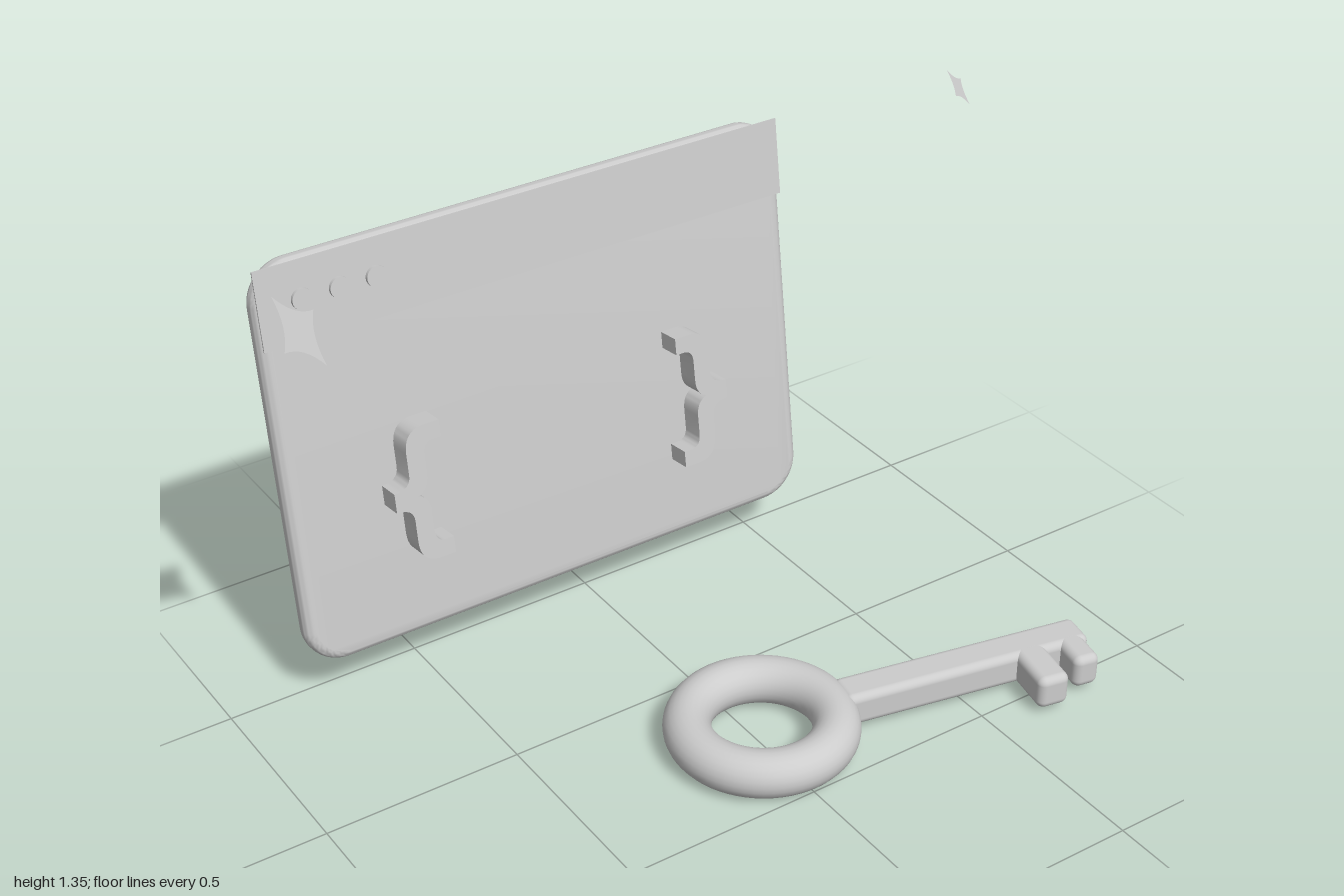
import * as THREE from 'three';
import { toCreasedNormals } from 'three/addons/utils/BufferGeometryUtils.js';
import { RoundedBoxGeometry } from 'three/addons/geometries/RoundedBoxGeometry.js';

export function createModel() {
  const model = new THREE.Group();
  model.name = 'windowAndKey';
  const grey = new THREE.MeshStandardMaterial({ color: 0xcccccc });
  grey.name = 'light grey';
  const greyThin = grey.clone();
  greyThin.side = THREE.DoubleSide;

  const add = (parent, name, geometry, x, y, z, material = grey) => {
    const mesh = new THREE.Mesh(geometry, material);
    mesh.name = name;
    mesh.position.set(x, y, z);
    parent.add(mesh);
    return mesh;
  };

  // Window leaning backwards
  const win = new THREE.Group();
  win.name = 'window';
  win.position.set(-0.105, 0.63, -0.5);
  win.rotation.x = -0.137;
  model.add(win);

  // Panel: rounded rectangle with soft edges, 0.06 thick
  const bevel = 0.025, w = 1.43 / 2 - bevel, h = 1.03 / 2 - bevel, r = 0.08;
  const outline = new THREE.Shape();
  outline.absarc(w - r, h - r, r, 0, Math.PI / 2);
  outline.absarc(r - w, h - r, r, Math.PI / 2, Math.PI);
  outline.absarc(r - w, r - h, r, Math.PI, Math.PI * 1.5);
  outline.absarc(w - r, r - h, r, Math.PI * 1.5, Math.PI * 2);
  const panel = new THREE.ExtrudeGeometry(outline, {
    depth: 0.01, bevelSize: bevel, bevelThickness: bevel, bevelSegments: 6, curveSegments: 10,
  });
  panel.translate(0, 0, -0.005);
  add(win, 'panel', toCreasedNormals(panel, 0.6), 0, 0, 0);

  // Title bar and its three buttons
  add(win, 'titleBar', new THREE.BoxGeometry(1.42, 0.195, 0.004), 0.002, 0.415, 0.032);
  for (const x of [-0.6, -0.505, -0.412]) {
    const button = new THREE.CylinderGeometry(0.026, 0.026, 0.009, 24);
    button.rotateX(Math.PI / 2);
    add(win, 'titleButton', button, x, 0.42, 0.0385);
  }

  // Curly braces, mirrored left and right
  const makeBrace = (s) => {
    const b = new THREE.Shape();
    b.moveTo(0, 0.176);
    b.lineTo(s * 0.045, 0.176);
    b.quadraticCurveTo(s * 0.094, 0.172, s * 0.094, 0.115);
    b.lineTo(s * 0.094, 0.06);
    b.quadraticCurveTo(s * 0.094, 0.025, s * 0.138, 0.025);
    b.lineTo(s * 0.138, -0.025);
    b.quadraticCurveTo(s * 0.094, -0.025, s * 0.094, -0.06);
    b.lineTo(s * 0.094, -0.115);
    b.quadraticCurveTo(s * 0.094, -0.172, s * 0.045, -0.176);
    b.lineTo(0, -0.176);
    b.lineTo(0, -0.133);
    b.lineTo(s * 0.025, -0.133);
    b.quadraticCurveTo(s * 0.048, -0.13, s * 0.048, -0.1);
    b.lineTo(s * 0.048, -0.05);
    b.quadraticCurveTo(s * 0.048, -0.01, s * 0.078, 0);
    b.quadraticCurveTo(s * 0.048, 0.01, s * 0.048, 0.05);
    b.lineTo(s * 0.048, 0.1);
    b.quadraticCurveTo(s * 0.048, 0.13, s * 0.025, 0.133);
    b.lineTo(0, 0.133);
    const geometry = new THREE.ExtrudeGeometry(b, { depth: 0.064, bevelEnabled: false, curveSegments: 8 });
    return toCreasedNormals(geometry, 0.6);
  };
  add(win, 'leftBrace', makeBrace(1), 0.332, -0.124, 0.029);
  add(win, 'rightBrace', makeBrace(-1), -0.332, -0.124, 0.029);

  // Key lying flat, turned slightly to the front
  const key = new THREE.Group();
  key.name = 'key';
  key.position.set(0, 0.058, 0.29);
  key.rotation.y = -0.2;
  model.add(key);

  const ring = new THREE.TorusGeometry(0.177, 0.058, 24, 64);
  ring.rotateX(Math.PI / 2);
  add(key, 'keyRing', ring, 0, 0, 0);
  const block = (name, x0, x1, z0, z1) =>
    add(key, name, new RoundedBoxGeometry(x1 - x0, 0.088, z1 - z0, 4, 0.02),
      (x0 + x1) / 2, 0.003, (z0 + z1) / 2);
  block('keyShaft', 0.2, 0.855, -0.048, 0.048);
  block('keyToothLong', 0.655, 0.737, 0.01, 0.163);
  block('keyToothShort', 0.774, 0.842, 0.01, 0.123);

  // Flat four-pointed sparkles facing diagonally
  const addSparkle = (name, size, x, y, z) => {
    const s = new THREE.Shape();
    s.moveTo(size, 0);
    for (let i = 1; i <= 4; i++) {
      const a = i * Math.PI / 2, m = a - Math.PI / 4, c = size * 0.36;
      s.quadraticCurveTo(Math.cos(m) * c, Math.sin(m) * c, Math.cos(a) * size, Math.sin(a) * size);
    }
    const mesh = add(model, name, new THREE.ShapeGeometry(s, 8), x, y, z, greyThin);
    mesh.lookAt(x + 1, y + 1, z + 1);
  };
  addSparkle('sparkleLarge', 0.091, -0.936, 1.274, -0.032);
  addSparkle('sparkleSmall', 0.054, 0.957, 1.24, -0.263);

  return model;
}
